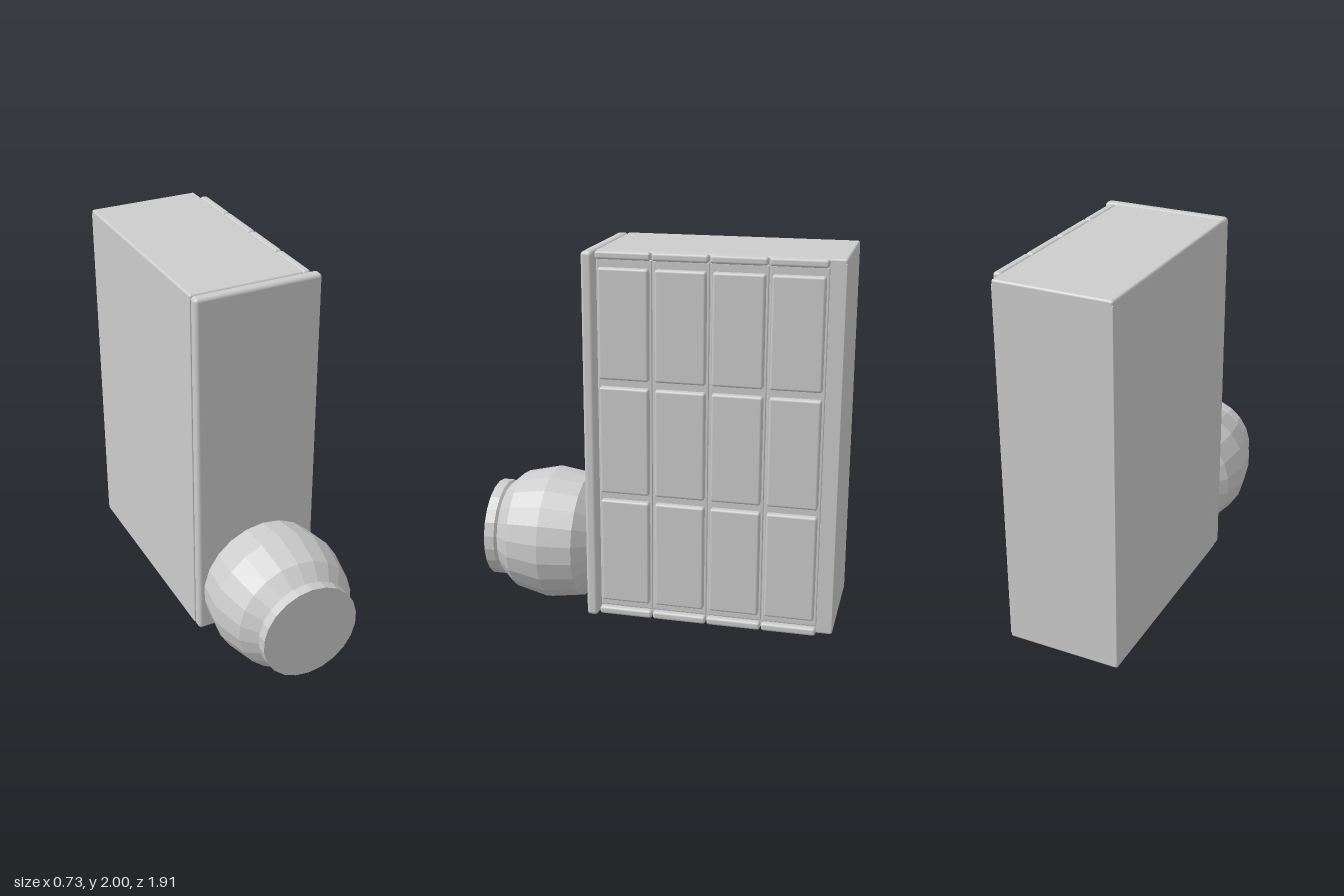
import * as THREE from 'three';
import { RoundedBoxGeometry } from 'three/addons/geometries/RoundedBoxGeometry.js';

export function createModel() {
  const model = new THREE.Group();
  model.name = 'panelledCabinet';
  const grey = new THREE.MeshStandardMaterial({ color: 0xcccccc });
  grey.name = 'light grey';
  const greyFaceted = new THREE.MeshStandardMaterial({ color: 0xcccccc, flatShading: true });
  greyFaceted.name = 'light grey';

  // Block given by its extents; a radius rounds its edges
  function block(name, [x0, x1], [y0, y1], [z0, z1], radius = 0) {
    const size = [x1 - x0, y1 - y0, z1 - z0];
    const geometry = radius
      ? new RoundedBoxGeometry(...size, 3, radius)
      : new THREE.BoxGeometry(...size);
    const mesh = new THREE.Mesh(geometry, grey);
    mesh.name = name;
    mesh.position.set((x0 + x1) / 2, (y0 + y1) / 2, (z0 + z1) / 2);
    model.add(mesh);
  }

  const left = -0.327, side = 0.284, back = -0.955, front = 0.284;
  const bottom = 0.05, top = 2, slab = 0.042;

  // Cabinet body between a top and a bottom slab
  block('body', [left, side], [bottom + slab - 0.02, top - slab + 0.02], [back, front], 0.005);
  block('topSlab', [left, side], [top - slab, top], [back, front], 0.012);
  block('bottomSlab', [left, side], [bottom, bottom + slab], [back, front], 0.012);

  // Front plate, overhanging on the panelled side
  block('frontPlate', [left, 0.355], [bottom, top], [front, 0.345], 0.02);

  // Four columns of three raised panels, each column between two rails
  const pitch = 0.29;
  for (let column = 0; column < 4; column++) {
    const z1 = front - column * pitch, z0 = z1 - pitch;
    const span = [z0 + 0.003, z1 - 0.003];
    block('topRail', [side - 0.002, 0.325], [top - slab, top], span, 0.014);
    block('bottomRail', [side - 0.002, 0.325], [bottom, bottom + slab], span, 0.014);
    block('columnBacking', [side - 0.02, side + 0.006], [bottom + slab, top - slab], span, 0.005);
    for (let row = 0; row < 3; row++) {
      const y = 0.416 + row * 0.608;
      block('sidePanel', [side - 0.01, 0.322], [y - 0.284, y + 0.284], [z0 + 0.016, z1 - 0.016], 0.013);
    }
  }

  // Faceted bulb with a flared, flat end
  const profile = [
    [0, 0.335], [0.24, 0.335], [0.247, 0.345], [0.341, 0.437], [0.367, 0.62],
    [0.325, 0.805], [0.252, 0.887], [0.266, 0.9], [0.266, 0.955], [0, 0.955],
  ].map(([r, z]) => new THREE.Vector2(r, z));
  const bulb = new THREE.Mesh(new THREE.LatheGeometry(profile, 22).rotateX(Math.PI / 2), greyFaceted);
  bulb.name = 'bulb';
  bulb.position.y = 0.367;
  model.add(bulb);

  return model;
}
